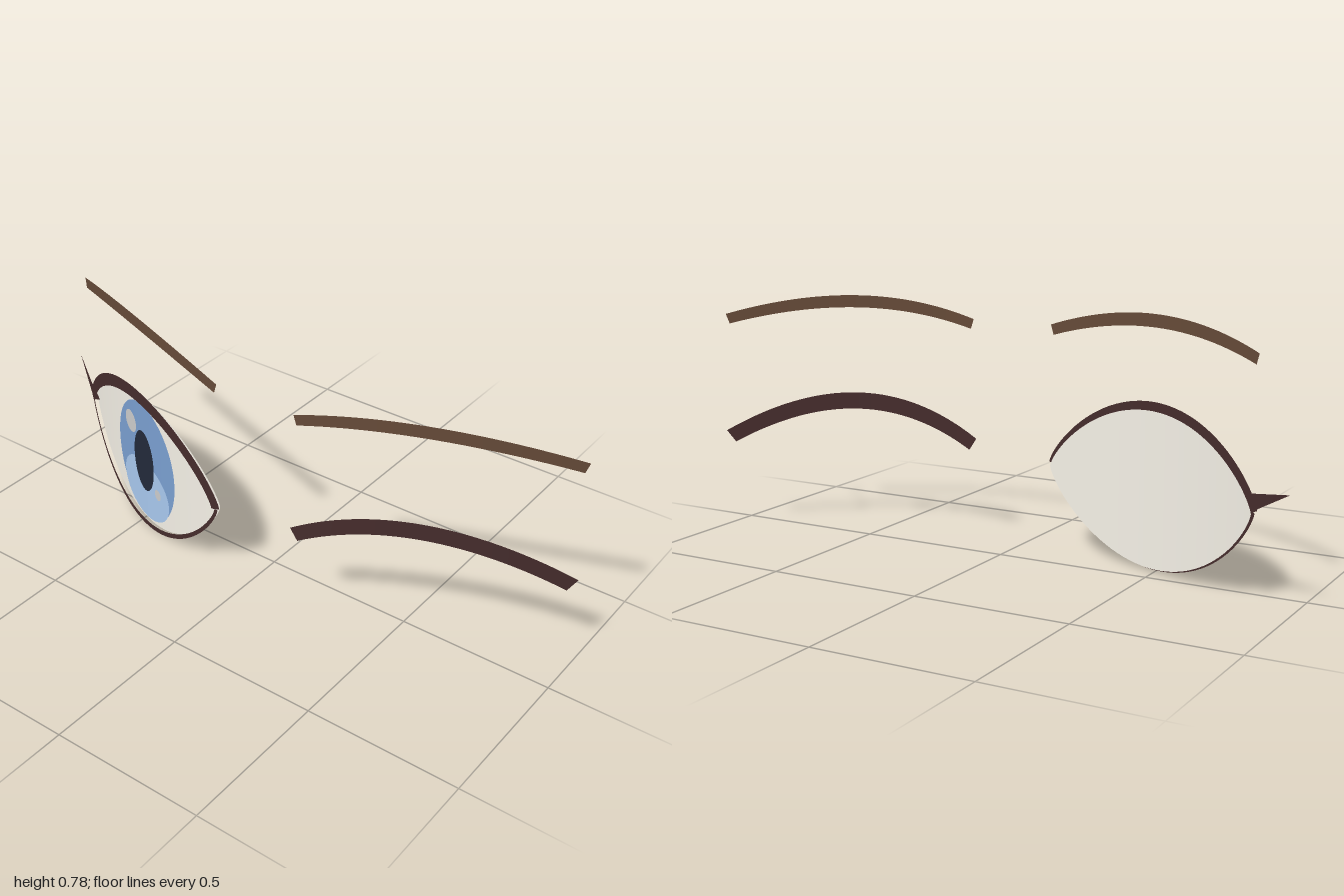
import * as THREE from 'three';

// The curved face surface that every part is wrapped on
const MID = 0.055;
const faceZ = (x) => 0.177 - 0.335 * (x - MID) ** 2;

const COLORS = {
  brow: 0x654a38, lash: 0x452c2c, white: 0xf4f0e6,
  iris: 0x7a9fd0, glow: 0xa8c8ee, pupil: 0x222a3a, shine: 0xcccccc,
};

function makeMesh(name, color, points, index, lift) {
  const pos = [], nor = [], n = new THREE.Vector3();
  for (const [x, y] of points) {
    pos.push(x, y, faceZ(x) + lift);
    n.set(0.67 * (x - MID), 0, 1).normalize();
    nor.push(n.x, n.y, n.z);
  }
  const geo = new THREE.BufferGeometry();
  geo.setAttribute('position', new THREE.Float32BufferAttribute(pos, 3));
  geo.setAttribute('normal', new THREE.Float32BufferAttribute(nor, 3));
  geo.setIndex(index);
  const mesh = new THREE.Mesh(geo, new THREE.MeshStandardMaterial({ color, side: THREE.DoubleSide }));
  mesh.name = name;
  return mesh;
}

// Sheet between a lower and an upper curve, each u in [-1, 1] -> [x, y]
function sheet(name, color, lower, upper, lift, cols = 48, rows = 2) {
  const points = [], index = [];
  for (let i = 0; i <= cols; i++) {
    const u = Math.sin((i / cols - 0.5) * Math.PI);
    const a = lower(u), b = upper(u);
    for (let j = 0; j <= rows; j++) {
      const t = j / rows;
      points.push([a[0] + (b[0] - a[0]) * t, a[1] + (b[1] - a[1]) * t]);
    }
  }
  for (let i = 0; i < cols; i++) {
    for (let j = 0; j < rows; j++) {
      const p = i * (rows + 1) + j, q = p + rows + 1;
      index.push(p, q, q + 1, p, q + 1, p + 1);
    }
  }
  return makeMesh(name, color, points, index, lift);
}

// Arch of half width rx and height h: power 1 is a parabola, 0.5 an ellipse
const arch = (cx, y, rx, h, power) => (u) =>
  [cx + rx * u, y + h * Math.pow(Math.max(0, 1 - u * u), power)];

const disc = (name, color, cx, cy, rx, ry, lift) =>
  sheet(name, color, arch(cx, cy, rx, -ry, 0.5), arch(cx, cy, rx, ry, 0.5), lift);

export function createModel() {
  const model = new THREE.Group();
  model.name = 'eyes';
  const ex = -0.48, lid = 0.75;

  // Eyebrows
  for (const [name, cx] of [['rightEyebrow', ex], ['leftEyebrow', 0.592]]) {
    model.add(sheet(name, COLORS.brow,
      arch(cx, 0.688, 0.385, 0.057, 1), arch(cx, 0.72, 0.395, 0.065, 1), 0));
  }

  // Open eye, layered from the back to the front
  const eye = new THREE.Group();
  eye.name = 'openEye';
  eye.add(
    sheet('eyeWhite', COLORS.white,
      arch(ex, 0.27, 0.388, -0.26, lid), arch(ex, 0.27, 0.388, 0.226, lid), -0.012),
    disc('iris', COLORS.iris, ex, 0.24, 0.172, 0.22, -0.008),
    disc('irisGlow', COLORS.glow, ex, 0.133, 0.138, 0.11, -0.006),
    disc('pupil', COLORS.pupil, ex, 0.245, 0.06, 0.115, -0.004),
    disc('largeHighlight', COLORS.shine, -0.552, 0.362, 0.035, 0.04, -0.002),
    disc('smallHighlight', COLORS.shine, -0.4, 0.155, 0.017, 0.02, -0.002),
    sheet('lowerLid', COLORS.lash,
      arch(ex, 0.27, 0.393, -0.268, lid), arch(ex, 0.27, 0.38, -0.25, lid), 0.007),
    sheet('upperLash', COLORS.lash,
      arch(ex, 0.265, 0.367, 0.21, lid), arch(ex, 0.278, 0.402, 0.242, lid), 0.008),
  );

  // Pointed lash wing at the outer corner
  const wing = [[-1, 0.354], [-0.872, 0.278], [-0.862, 0.262], [-0.785, 0.308], [-0.87, 0.325]];
  eye.add(makeMesh('lashWing', COLORS.lash, wing, [0, 1, 4, 1, 2, 4, 2, 3, 4], 0.011));
  model.add(eye);

  // Closed eye
  model.add(sheet('closedEyeLash', COLORS.lash,
    arch(0.595, 0.286, 0.378, 0.118, 1), arch(0.595, 0.325, 0.403, 0.134, 1), 0.005));

  return model;
}
